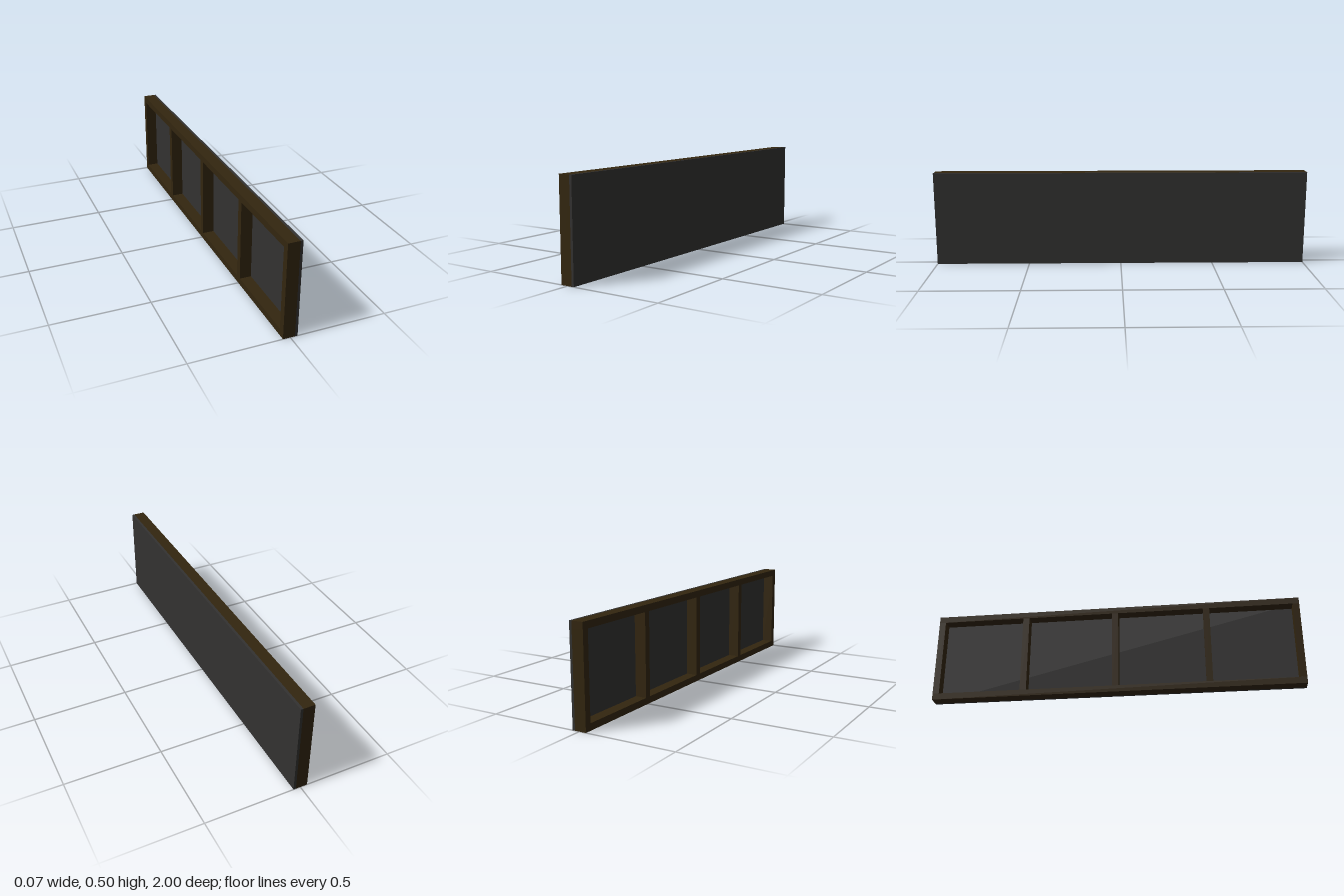
import * as THREE from 'three';

export function createModel() {
  const group = new THREE.Group();
  const wood = new THREE.MeshStandardMaterial({ color: 0x33260f });
  const dark = new THREE.MeshStandardMaterial({ color: 0x333231 });

  const length = 2, height = 0.5, depth = 0.074;
  const panelDepth = 0.013, bar = 0.035;
  const frameDepth = depth - panelDepth;
  const frameX = -depth / 2 + frameDepth / 2;

  function addBox(name, size, position, material) {
    const mesh = new THREE.Mesh(new THREE.BoxGeometry(...size), material);
    mesh.name = name;
    mesh.position.set(...position);
    group.add(mesh);
  }

  // Facing panel covering the whole +x side
  addBox('facingPanel', [panelDepth, height, length],
    [depth / 2 - panelDepth / 2, height / 2, 0], dark);

  // Full-length rails along the bottom and top
  addBox('bottomRail', [frameDepth, bar, length], [frameX, bar / 2, 0], wood);
  addBox('topRail', [frameDepth, bar, length], [frameX, height - bar / 2, 0], wood);

  // Evenly spaced uprights: two ends and three between
  const reach = length / 2 - bar / 2;
  for (const z of [-reach, -0.5, 0, 0.5, reach]) {
    const name = Math.abs(z) === reach ? 'endPost' : 'middlePost';
    addBox(name, [frameDepth, height - 2 * bar, bar], [frameX, height / 2, z], wood);
  }

  return group;
}
